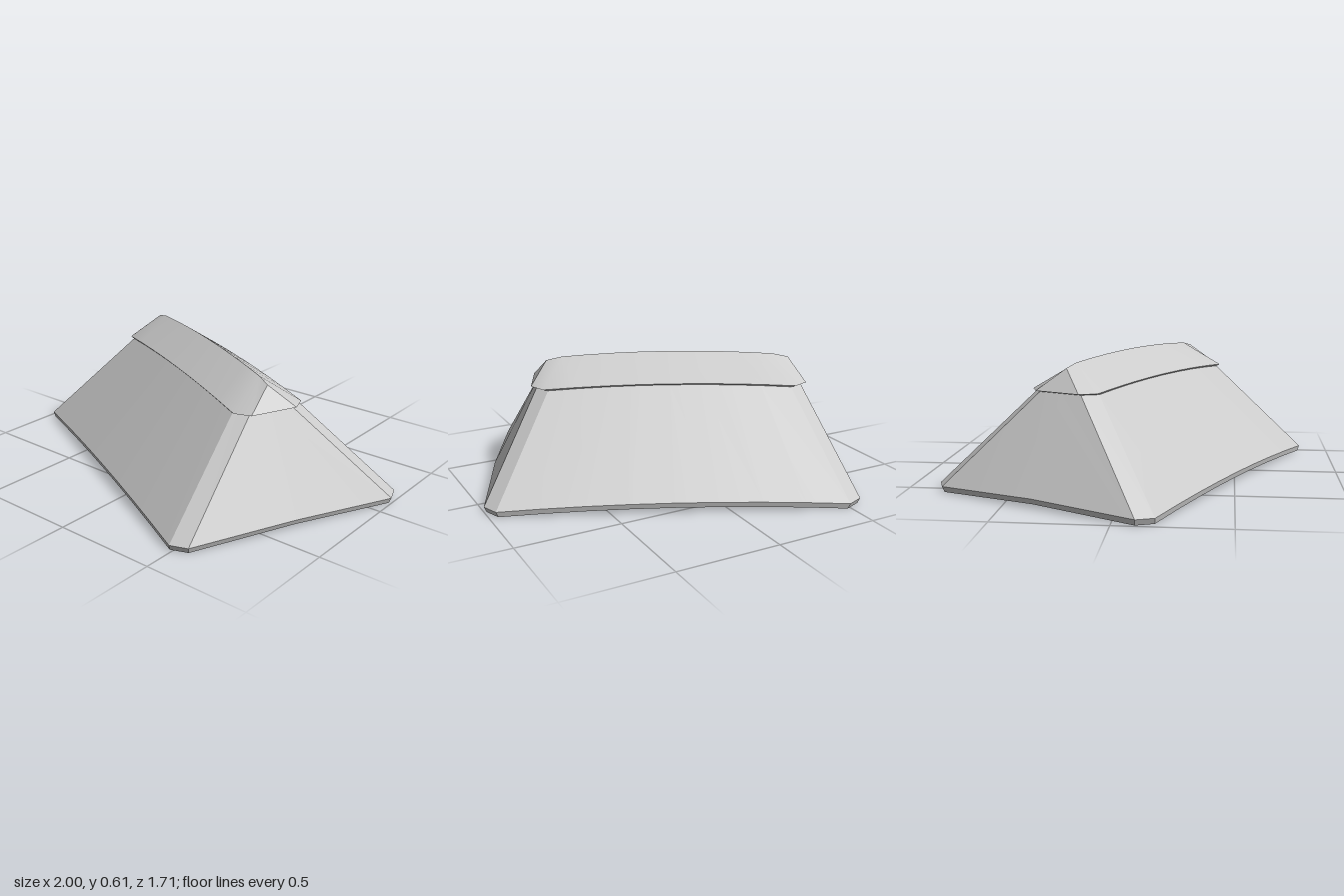
import * as THREE from 'three';
import { toCreasedNormals } from 'three/addons/utils/BufferGeometryUtils.js';

const LONG = 8, SHORT = 2;

// Half outlines [x, z]; the other half is the same turned by 180 degrees.
const BASE = [[-0.49, -0.855], [0.97, -0.18], [1.0, -0.1], [0.57, 0.825]];
const EAVE = [[-0.48, -0.413], [0.62, 0.1], [0.65, 0.18], [0.557, 0.387]];

// Chamfered outline whose edges rise towards the middle and whose ends may bulge slightly.
function ring(half, scale, y, liftLong, liftShort, bulge = 0) {
  const corners = [...half, ...half.map(([x, z]) => [-x, -z])];
  const points = [];
  corners.forEach(([x0, z0], i) => {
    const [x1, z1] = corners[(i + 1) % 8];
    const kind = i % 4; // 0 long side, 2 end, others chamfers
    const n = kind === 0 ? LONG : kind === 2 ? SHORT : 1;
    for (let k = 0; k < n; k++) {
      const t = k / n;
      const arch = 4 * t * (1 - t);
      const lift = kind === 0 ? liftLong : kind === 2 ? liftShort : 0;
      const out = kind === 2 ? 1 + bulge * arch : 1;
      points.push(new THREE.Vector3(
        (x0 + (x1 - x0) * t) * scale * out, y + lift * arch, (z0 + (z1 - z0) * t) * scale * out));
    }
  });
  return points;
}

// Arched ridge line with the same point count as a ring; its tips dip at the ends.
function ridge() {
  const points = [];
  for (const sign of [1, -1]) {
    for (let k = 0; k < LONG + SHORT + 2; k++) {
      const t = -1 + 2 * k / LONG;
      const tip = k > LONG;
      const s = sign * (tip ? 1 : 0.87 * t);
      points.push(new THREE.Vector3(0.54 * s, tip ? 0.573 : 0.61 - 0.02 * t * t, 0.25 * s));
    }
  }
  return points;
}

// Skin joining successive rings, leaving out collapsed triangles.
function loft(rings) {
  const positions = [];
  const triangle = (a, b, c) => {
    const area = b.clone().sub(a).cross(c.clone().sub(a)).length();
    if (area > 1e-7) for (const p of [a, b, c]) positions.push(p.x, p.y, p.z);
  };
  for (let r = 0; r < rings.length - 1; r++) {
    const p = rings[r], q = rings[r + 1];
    for (let i = 0; i < p.length; i++) {
      const j = (i + 1) % p.length;
      triangle(p[i], q[i], q[j]);
      triangle(p[i], q[j], p[j]);
    }
  }
  const geometry = new THREE.BufferGeometry();
  geometry.setAttribute('position', new THREE.Float32BufferAttribute(positions, 3));
  return toCreasedNormals(geometry, 0.48);
}

export function createModel() {
  const group = new THREE.Group();
  group.name = 'hippedRoof';
  const material = new THREE.MeshStandardMaterial({ color: 0xcccccc, side: THREE.DoubleSide });
  const add = (name, rings) => {
    const mesh = new THREE.Mesh(loft(rings), material);
    mesh.name = name;
    group.add(mesh);
  };

  const slopeTop = ring(EAVE, 0.96, 0.466, 0.02, 0);

  // Thin hollow shell: flat flange underneath, fascia, slopes
  add('roofSlopes', [
    ring(BASE, 0.808, 0, 0.025, 0.018, 0.012),
    ring(BASE, 0.988, 0, 0.025, 0.018, 0.012),
    ring(BASE, 1, 0.027, 0.024, 0.016, 0.012),
    slopeTop,
  ]);

  // Ridge cap: overhanging lip, then slopes up to the ridge
  add('ridgeCap', [slopeTop, ring(EAVE, 1, 0.473, 0.02, 0), ridge()]);
  return group;
}
